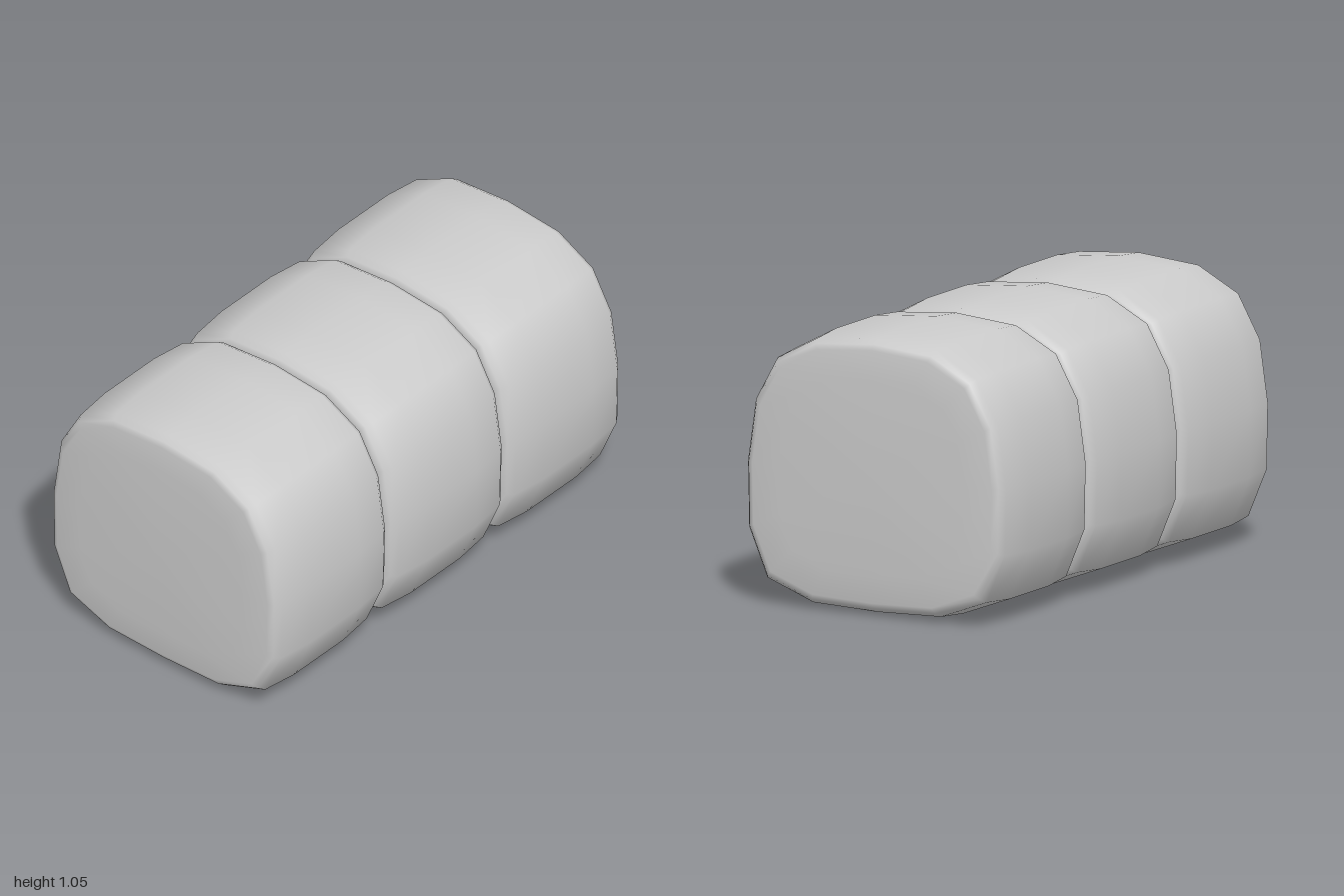
import * as THREE from 'three';

// Half outline of the cushion cross-section, top to bottom: [z, y]
const HALF = [[0, 1.052], [0.26, 1.03], [0.435, 0.938], [0.53, 0.77], [0.565, 0.53],
  [0.56, 0.275], [0.48, 0.087], [0.28, 0.012], [0, 0.003]];
const OUTLINE = [...HALF, ...HALF.slice(1, -1).reverse().map(([z, y]) => [-z, y])];
const MID_Y = 0.53;

// Stations along x from the centre to the bulging end: [x, scale]
const END = [[0.14, 1], [0.288, 0.976], [0.314, 0.945], [0.326, 0.905], [0.333, 0.7], [0.339, 0.35]];
const STATIONS = [...END.map(([x, s]) => [-x, s]).reverse(), ...END];
const TIP = 0.34;

// Loft one pillow-like segment with closed, domed ends
function segmentGeometry() {
  const n = OUTLINE.length;
  const position = [];
  const index = [];
  for (const [x, s] of STATIONS) {
    for (const [z, y] of OUTLINE) position.push(x, MID_Y + (y - MID_Y) * s, z * s);
  }
  const first = STATIONS.length * n;
  position.push(-TIP, MID_Y, 0, TIP, MID_Y, 0);

  for (let j = 0; j < n; j++) {
    const k = (j + 1) % n;
    for (let i = 0; i < STATIONS.length - 1; i++) {
      const a = i * n + j, b = i * n + k, c = a + n, d = b + n;
      index.push(a, b, c, b, d, c);
    }
    const last = first - n;
    index.push(first, k, j, first + 1, last + j, last + k);
  }

  const geometry = new THREE.BufferGeometry();
  geometry.setAttribute('position', new THREE.Float32BufferAttribute(position, 3));
  geometry.setIndex(index);
  geometry.computeVertexNormals();
  return geometry;
}

export function createModel() {
  const model = new THREE.Group();
  model.name = 'segmentedCushion';
  const material = new THREE.MeshStandardMaterial({ color: 0xcccccc });
  const geometry = segmentGeometry();

  // Three identical segments side by side
  ['rightSegment', 'middleSegment', 'leftSegment'].forEach((name, i) => {
    const mesh = new THREE.Mesh(geometry, material);
    mesh.name = name;
    mesh.position.x = (i - 1) * 0.66;
    model.add(mesh);
  });
  return model;
}
